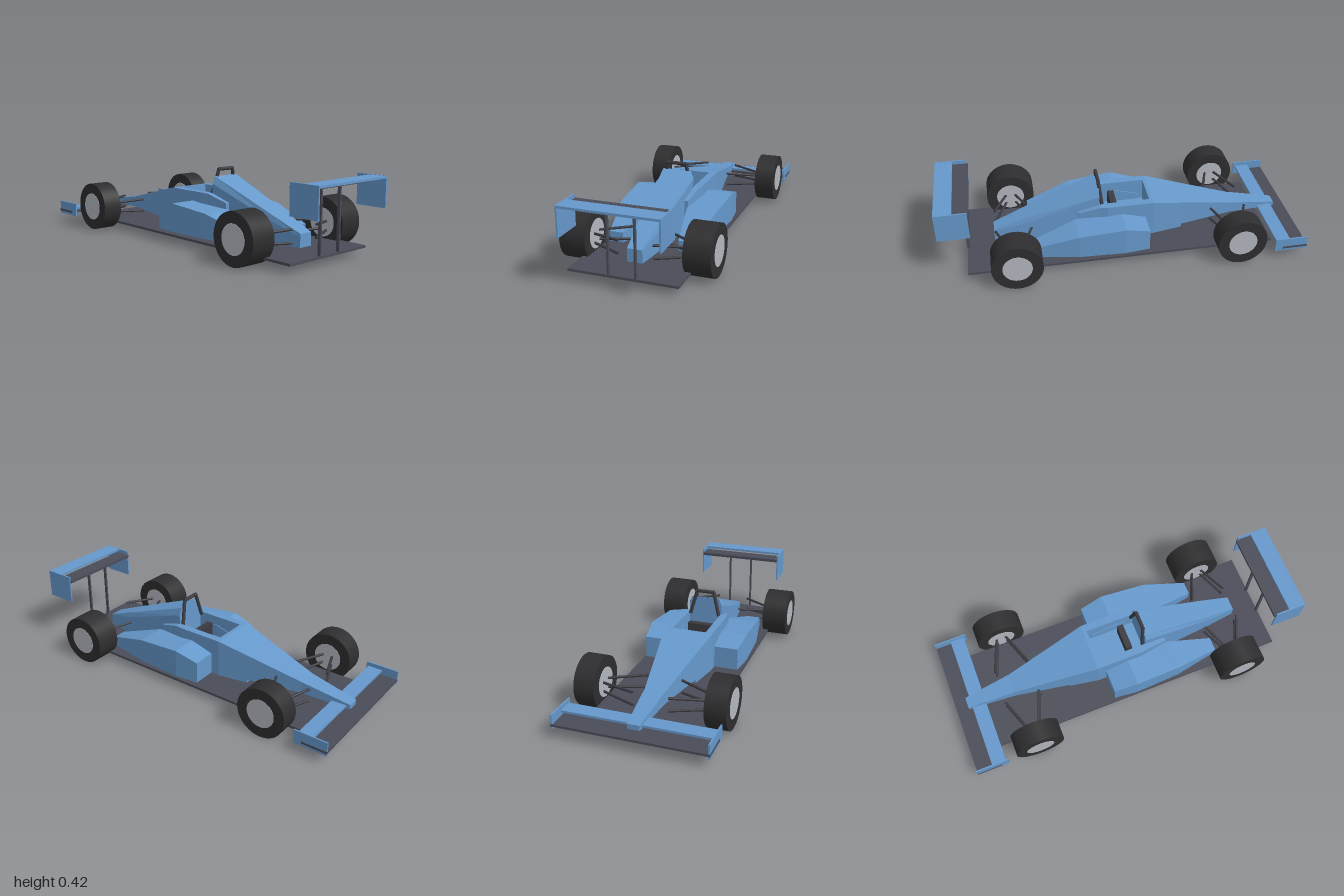
import * as THREE from 'three';

const paint = (color) => new THREE.MeshStandardMaterial({ color });
const blue = paint(0x6699cc);
const carbon = paint(0x4a4c58);
const rubber = paint(0x2e2e30);
const dark = paint(0x3a3a40);
const metal = paint(0xb4b8c0);

// Flat-faced hull through cross-sections [z, points], z rising, points counterclockwise seen from +z
function loft(sections) {
  const pos = [];
  const add = (s, j) => pos.push(s[1][j][0], s[1][j][1], s[0]);
  const n = sections[0][1].length;
  for (let i = 0; i + 1 < sections.length; i++) {
    const a = sections[i], b = sections[i + 1];
    for (let j = 0; j < n; j++) {
      const k = (j + 1) % n;
      add(a, j); add(a, k); add(b, k);
      add(a, j); add(b, k); add(b, j);
    }
  }
  const cap = (s, flip) => {
    const outline = s[1].map(([x, y]) => new THREE.Vector2(x, y));
    for (const [p, q, r] of THREE.ShapeUtils.triangulateShape(outline, [])) {
      add(s, p); add(s, flip ? r : q); add(s, flip ? q : r);
    }
  };
  cap(sections[0], true);
  cap(sections[sections.length - 1], false);
  const g = new THREE.BufferGeometry();
  g.setAttribute('position', new THREE.Float32BufferAttribute(pos, 3));
  g.computeVertexNormals();
  return g;
}

const rect = (x0, x1, y0, y1) => [[x0, y0], [x1, y0], [x1, y1], [x0, y1]];

export function createModel() {
  const root = new THREE.Group();
  root.name = 'racingCar';

  const mesh = (name, geometry, material) => {
    const m = new THREE.Mesh(geometry, material);
    m.name = name;
    root.add(m);
    return m;
  };
  // Box given by its limits on each axis
  const box = (name, [x0, x1], [y0, y1], [z0, z1], material) => {
    const m = mesh(name, new THREE.BoxGeometry(x1 - x0, y1 - y0, z1 - z0), material);
    m.position.set((x0 + x1) / 2, (y0 + y1) / 2, (z0 + z1) / 2);
    return m;
  };
  // Round bar between two points
  const rod = (name, from, to, r, material) => {
    const a = new THREE.Vector3(...from), b = new THREE.Vector3(...to);
    const d = b.clone().sub(a);
    const m = mesh(name, new THREE.CylinderGeometry(r, r, d.length(), 12), material);
    m.position.copy(a).add(b).multiplyScalar(0.5);
    m.quaternion.setFromUnitVectors(new THREE.Vector3(0, 1, 0), d.normalize());
    return m;
  };

  // Floor
  box('floor', [-0.288, 0.288], [0.037, 0.05], [-0.835, 0.865], carbon);

  // Nose and front of the tub: [z, half width, bottom, top]
  const hull = (rows) => loft(rows.map(([z, w, y0, y1]) => [z, rect(-w, w, y0, y1)]));
  mesh('nose', hull([
    [-0.93, 0.032, 0.085, 0.112],
    [-0.66, 0.055, 0.092, 0.157],
    [-0.35, 0.107, 0.083, 0.233],
  ]), blue);
  mesh('frontTub', hull([
    [-0.35, 0.107, 0.063, 0.233],
    [-0.18, 0.137, 0.063, 0.275],
    [-0.16, 0.137, 0.063, 0.275],
  ]), blue);

  // Open cockpit, a U-shaped section
  const tub = (z, w, top) => [z, [
    [-w, 0.063], [w, 0.063], [w, top], [0.095, top],
    [0.095, 0.15], [-0.095, 0.15], [-0.095, top], [-w, top],
  ]];
  mesh('cockpit', loft([tub(-0.16, 0.137, 0.275), tub(0.08, 0.137, 0.275), tub(0.12, 0.129, 0.272)]), blue);
  mesh('rearTub', hull([[0.12, 0.129, 0.063, 0.272], [0.24, 0.107, 0.063, 0.233]]), blue);
  box('seatBack', [-0.072, 0.072], [0.15, 0.24], [0.015, 0.05], dark);

  // Engine cover: [z, half width, shoulder height, top half width, top]
  mesh('engineCover', loft([
    [0.12, 0.097, 0.325, 0.08, 0.365],
    [0.55, 0.06, 0.165, 0.053, 0.195],
    [0.71, 0.041, 0.115, 0.04, 0.13],
  ].map(([z, w, ys, wt, yt]) => [z, [
    [-w, 0.059], [w, 0.059], [w, ys], [wt, yt], [-wt, yt], [-w, ys],
  ]])), blue);

  // Roll hoop
  for (const s of [-1, 1]) {
    rod('rollHoopLeg', [s * 0.086, 0.265, 0.105], [s * 0.05, 0.402, 0.12], 0.01, dark);
  }
  rod('rollHoopBar', [-0.053, 0.402, 0.12], [0.053, 0.402, 0.12], 0.01, dark);

  // Sidepods: [z, inner x, outer x, top]
  const pod = [
    [-0.133, 0.09, 0.27, 0.185],
    [0, 0.09, 0.285, 0.222],
    [0.26, 0.108, 0.274, 0.198],
    [0.51, 0.153, 0.228, 0.118],
  ];
  for (const s of [-1, 1]) {
    mesh(s > 0 ? 'leftSidepod' : 'rightSidepod', loft(pod.map(([z, a, b, top]) =>
      [z, rect(s > 0 ? a : -b, s > 0 ? b : -a, 0.063, top)])), blue);
  }

  // Wheels with hubs, and the wishbones that hold them
  for (const [end, z, inner] of [['nose', -0.624, 0.287], ['tail', 0.601, 0.257]]) {
    for (const s of [-1, 1]) {
      const width = 0.399 - inner, x = s * (inner + 0.399) / 2;
      const tyre = mesh(end + 'Tyre', new THREE.CylinderGeometry(0.137, 0.137, width, 40), rubber);
      const hub = mesh(end + 'Hub', new THREE.CylinderGeometry(0.079, 0.079, width + 0.003, 32), metal);
      for (const m of [tyre, hub]) {
        m.rotation.z = Math.PI / 2;
        m.position.set(x, 0.137, z);
      }
      for (const d of [-1, 1]) {
        const outer = inner + 0.02;
        rod(end + 'UpperWishbone', [s * 0.093, 0.16, z + d * 0.099], [s * outer, 0.144, z + d * 0.02], 0.007, dark);
        rod(end + 'LowerWishbone', [s * 0.093, 0.09, z + d * 0.099], [s * outer, 0.096, z + d * 0.02], 0.007, dark);
      }
    }
  }

  // Low wing at the nose
  box('noseWingPlane', [-0.4, 0.4], [0.064, 0.076], [-1, -0.86], carbon);
  box('noseWingFlap', [-0.39, 0.39], [0.092, 0.104], [-0.908, -0.828], blue);

  // High wing at the tail
  box('tailWingPlane', [-0.25, 0.25], [0.386, 0.403], [0.82, 0.908], carbon);
  box('tailWingFlap', [-0.25, 0.25], [0.411, 0.423], [0.905, 1], blue);

  for (const s of [-1, 1]) {
    const span = (a, b) => (s > 0 ? [a, b] : [-b, -a]);
    box('noseWingEndplate', span(0.39, 0.398), [0.05, 0.126], [-0.999, -0.816], blue);
    box('tailWingEndplate', span(0.249, 0.257), [0.264, 0.424], [0.828, 1], blue);
    box('tailWingStrut', span(0.066, 0.075), [0.048, 0.39], [0.85, 0.867], carbon);
  }

  return root;
}
